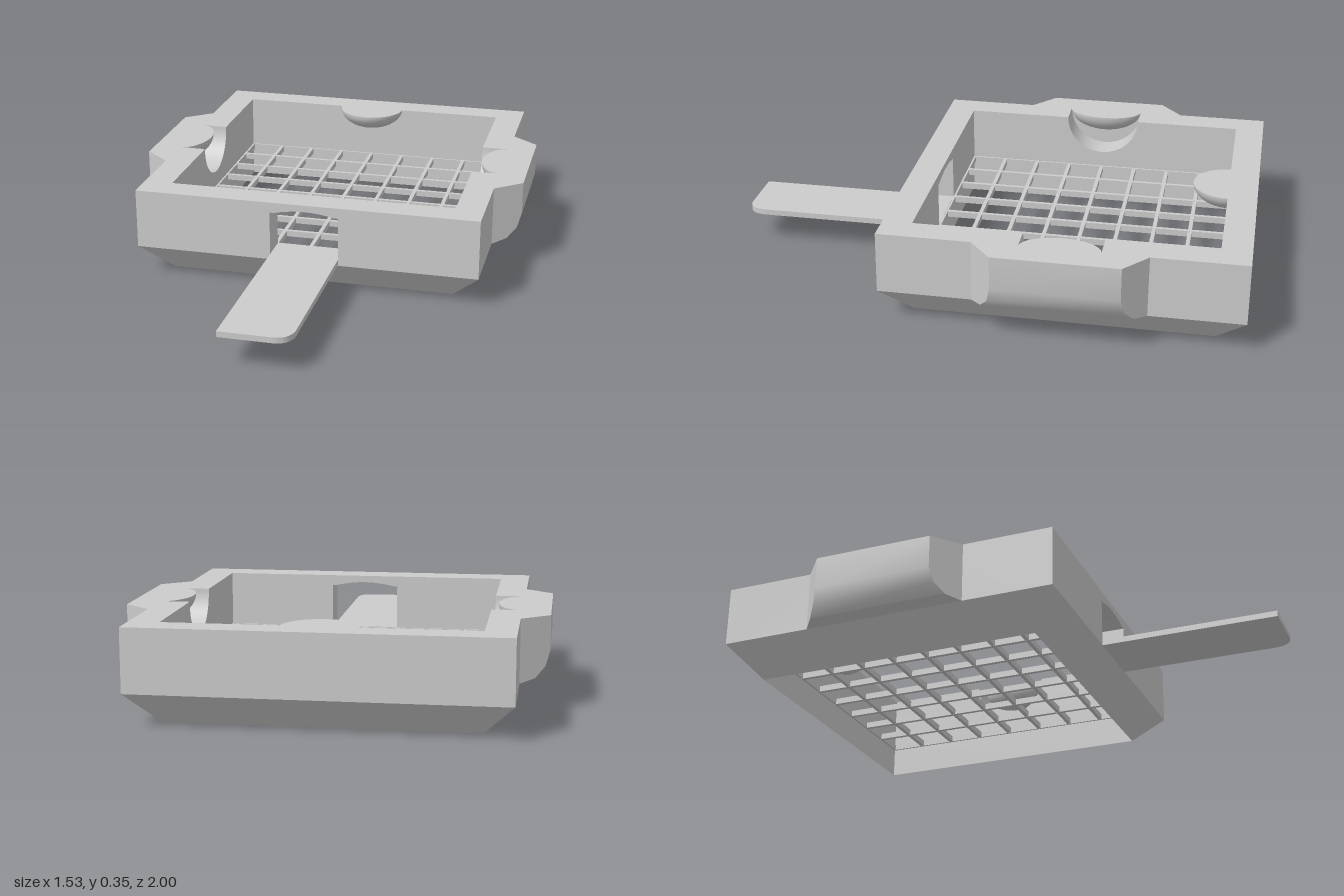
import * as THREE from 'three';
import { toCreasedNormals, mergeGeometries } from 'three/addons/utils/BufferGeometryUtils.js';

const OUT = 0.6625, IN = 0.5525, WALL = OUT - IN;   // half sizes of the tray
const LOW = 0.12, TOP = 0.35;                       // upper wall heights
const CELLS = 8;

export function createModel() {
  const model = new THREE.Group();
  model.name = 'trayWithGrid';
  const mat = new THREE.MeshStandardMaterial({ color: 0xcccccc });
  const thin = new THREE.MeshStandardMaterial({ color: 0xcccccc, side: THREE.DoubleSide });

  const add = (parent, name, geo, material = mat) => {
    const mesh = new THREE.Mesh(geo, material);
    mesh.name = name;
    parent.add(mesh);
    return mesh;
  };
  const extrude = (shape, depth) => toCreasedNormals(
    new THREE.ExtrudeGeometry(shape, { depth, bevelEnabled: false, curveSegments: 24 }), 0.5);

  const tray = new THREE.Group();
  tray.name = 'tray';
  tray.position.z = -0.3375;
  model.add(tray);

  // Half-round ledge: flat top, ellipsoid underside, bulging towards +z
  const ledgeGeometry = (rx, ry, rz) => mergeGeometries([
    new THREE.SphereGeometry(1, 32, 12, 0, Math.PI, Math.PI / 2, Math.PI / 2),
    new THREE.CircleGeometry(1, 32, Math.PI, Math.PI).rotateX(-Math.PI / 2),
  ]).scale(rx, ry, rz);

  // Back wall with its ledge
  add(tray, 'backWall', new THREE.BoxGeometry(2 * OUT, TOP - LOW, WALL))
    .position.set(0, (TOP + LOW) / 2, -OUT + WALL / 2);
  add(tray, 'backLedge', ledgeGeometry(0.135, 0.08, 0.135)).position.set(0, TOP, -IN);

  // Front wall with the slot for the tongue
  const front = new THREE.Shape();
  front.moveTo(-OUT, LOW);
  front.lineTo(-0.132, LOW);
  front.lineTo(-0.132, 0.31);
  front.lineTo(-0.115, 0.31);
  front.quadraticCurveTo(0, 0.338, 0.115, 0.31);
  front.lineTo(0.132, 0.31);
  front.lineTo(0.132, LOW);
  front.lineTo(OUT, LOW);
  front.lineTo(OUT, TOP);
  front.lineTo(-OUT, TOP);
  add(tray, 'frontWall', extrude(front, WALL)).position.z = IN;

  // Side walls: round notch inside, ledge in the notch, grip outside
  const side = new THREE.Shape();
  side.moveTo(-IN, LOW);
  side.lineTo(IN, LOW);
  side.lineTo(IN, TOP);
  side.lineTo(0.147, TOP);
  side.absarc(0, TOP, 0.147, 0, Math.PI, true);
  side.lineTo(-IN, TOP);
  const sideGeo = extrude(side, WALL).rotateY(Math.PI / 2).translate(IN, 0, 0);

  const grip = new THREE.Shape();
  grip.moveTo(OUT, LOW);
  grip.lineTo(0.715, 0.132);
  grip.lineTo(0.75, 0.17);
  grip.lineTo(0.765, 0.225);
  grip.lineTo(0.765, TOP);
  grip.lineTo(OUT, TOP);
  let gripGeo = new THREE.ExtrudeGeometry(grip, { depth: 1, bevelEnabled: false });
  const p = gripGeo.attributes.position;
  for (let i = 0; i < p.count; i++) {               // ends taper outwards
    const half = 0.315 - (p.getX(i) - OUT) * 0.83;
    p.setZ(i, p.getZ(i) > 0.5 ? half : -half);
  }
  gripGeo = toCreasedNormals(gripGeo, 0.6);

  for (const [name, turn] of [['left', 0], ['right', Math.PI]]) {
    const half = new THREE.Group();
    half.name = name + 'Side';
    half.rotation.y = turn;
    tray.add(half);
    add(half, name + 'Wall', sideGeo);
    add(half, name + 'Grip', gripGeo);
    const ledge = add(half, name + 'Ledge', ledgeGeometry(0.147, 0.08, 0.09));
    ledge.rotation.y = -Math.PI / 2;
    ledge.position.set(OUT, TOP, 0);
  }

  // Bevelled skirt below the walls: sloping outside, upright inside
  const ring = (top, bottom) => new THREE.CylinderGeometry(
    top * Math.SQRT2, bottom * Math.SQRT2, LOW, 4, 1, true)
    .rotateY(Math.PI / 4).translate(0, LOW / 2, 0).toNonIndexed();
  for (const [name, top] of [['skirtOutside', OUT], ['skirtInside', IN]]) {
    const geo = ring(top, IN);
    geo.computeVertexNormals();
    add(tray, name, geo, thin);
  }

  // Grid floor
  const grid = new THREE.Group();
  grid.name = 'gridFloor';
  tray.add(grid);
  for (let i = 0; i <= CELLS; i++) {
    const at = -IN + (2 * IN * i) / CELLS;
    add(grid, 'lengthBar', new THREE.BoxGeometry(0.015, 0.024, 2 * IN)).position.set(at, 0.128, 0);
    add(grid, 'crossBar', new THREE.BoxGeometry(2 * IN, 0.023, 0.015)).position.set(0, 0.128, at);
  }

  // Flat tongue with one rounded corner
  const tongue = new THREE.Shape();
  tongue.moveTo(-0.132, -1);
  tongue.lineTo(0.06, -1);
  tongue.quadraticCurveTo(0.13, -1, 0.13, -0.92);
  tongue.lineTo(0.13, -0.215);
  tongue.lineTo(-0.132, -0.215);
  add(model, 'tongue', extrude(tongue, 0.022).rotateX(-Math.PI / 2)).position.y = 0.119;

  return model;
}
